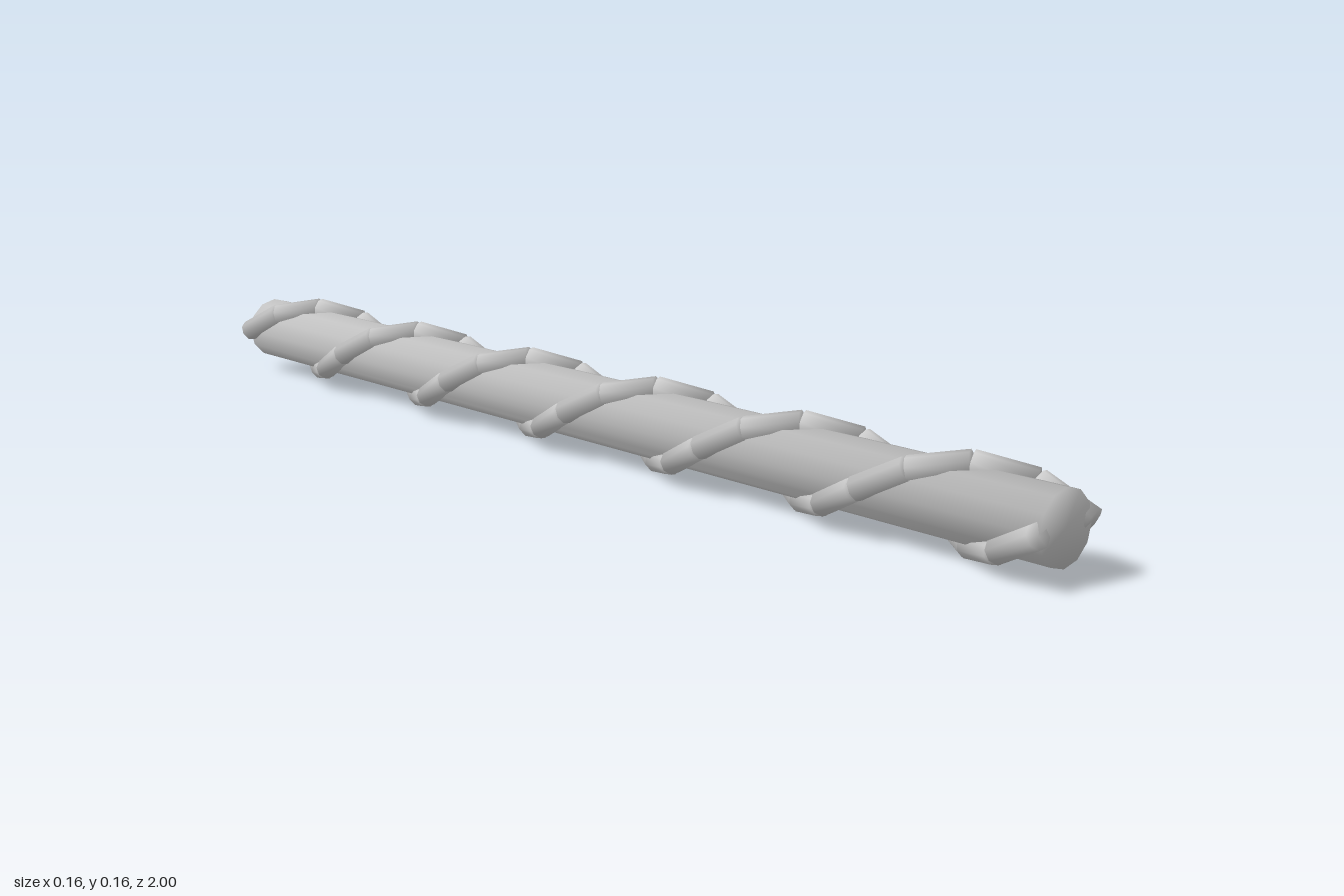
import * as THREE from 'three';

const CENTER_Y = 0.083, HALF = 0.99, TURNS = 3, STEPS = 24, HELIX_R = 0.0605;

// Cylinder whose shading rolls softly over the end rims
function softCylinder(radius, length, sides) {
  const geo = new THREE.CylinderGeometry(radius, radius, length, sides);
  const p = geo.attributes.position, n = geo.attributes.normal, v = new THREE.Vector3();
  for (let i = 0; i < p.count; i++) {
    v.set(p.getX(i) / radius, Math.sign(p.getY(i)), p.getZ(i) / radius).normalize();
    n.setXYZ(i, v.x, v.y, v.z);
  }
  return geo;
}

// Point on a helix; the angle grows from front to back
function helixPoint(t, phase) {
  const a = phase + t * TURNS * Math.PI * 2;
  return new THREE.Vector3(HELIX_R * Math.cos(a), HELIX_R * Math.sin(a), HALF * (1 - 2 * t));
}

export function createModel() {
  const model = new THREE.Group();
  model.name = 'twistedRod';
  const grey = new THREE.MeshStandardMaterial({ color: 0xcccccc });
  grey.name = 'light grey';

  // Straight core
  const core = new THREE.Mesh(softCylinder(0.058, HALF * 2, 12), grey);
  core.name = 'core';
  core.rotation.x = Math.PI / 2;
  core.position.y = CENTER_Y;
  model.add(core);

  // Two opposite strands, each a chain of short straight cylinders
  const up = new THREE.Vector3(0, 1, 0);
  const length = helixPoint(0, 0).distanceTo(helixPoint(1 / STEPS, 0));
  const segmentGeo = softCylinder(0.02, length, 8);
  ['leftStrand', 'rightStrand'].forEach((name, k) => {
    const strand = new THREE.Group();
    strand.name = name;
    strand.position.y = CENTER_Y;
    for (let i = 0; i < STEPS; i++) {
      const a = helixPoint(i / STEPS, k * Math.PI);
      const b = helixPoint((i + 1) / STEPS, k * Math.PI);
      const segment = new THREE.Mesh(segmentGeo, grey);
      segment.name = 'strandSegment';
      segment.position.copy(a).add(b).multiplyScalar(0.5);
      segment.quaternion.setFromUnitVectors(up, b.sub(a).normalize());
      strand.add(segment);
    }
    model.add(strand);
  });
  return model;
}
